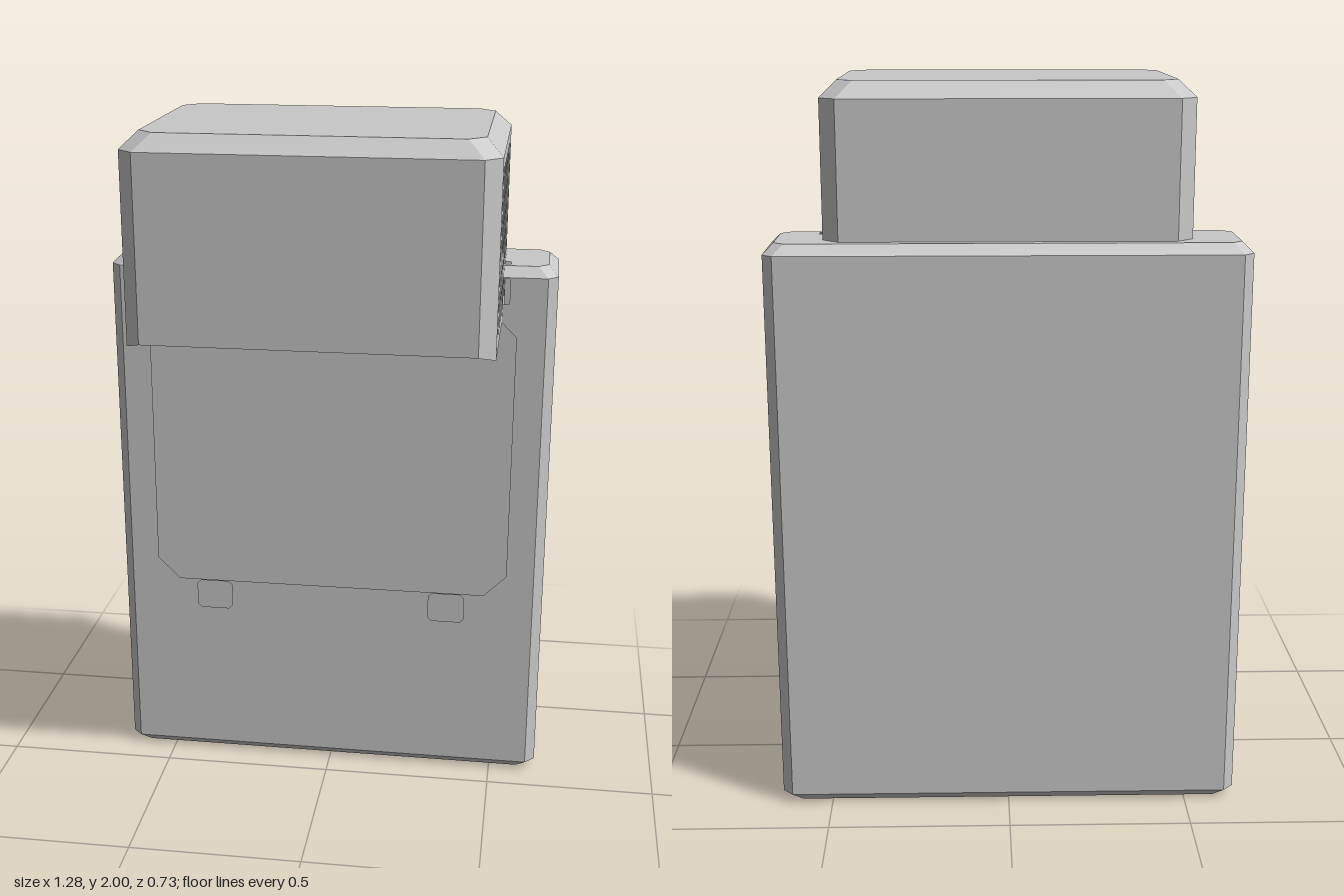
import * as THREE from 'three';

const grey = new THREE.MeshStandardMaterial({ color: 0xc8c8c8, side: THREE.DoubleSide });
grey.name = 'plain grey';

// Octagonal outline in plan; segments 0, 2, 4, 6 face +x, -z, -x, +z
function ring(hx, hz, c, cz, y) {
  return [
    [hx, hz - c], [hx, c - hz], [hx - c, -hz], [c - hx, -hz],
    [-hx, c - hz], [-hx, hz - c], [c - hx, hz], [hx - c, hz],
  ].map(([x, z]) => new THREE.Vector3(x, typeof y === 'function' ? y(x) : y, z + cz));
}

// Flat-faced band between two rings, leaving out the listed segments
function band(a, b, skip = []) {
  const pts = [];
  for (let i = 0; i < 8; i++) {
    if (skip.includes(i)) continue;
    const j = (i + 1) % 8;
    pts.push(a[i], a[j], b[j], a[i], b[j], b[i]);
  }
  const g = new THREE.BufferGeometry().setFromPoints(pts);
  g.computeVertexNormals();
  return g;
}

const poly = (pts) => new THREE.Shape(pts.map(([x, y]) => new THREE.Vector2(x, y)));

// Rectangle with small cut corners
function cutRect(x0, x1, y0, y1, c) {
  return poly([
    [x0 + c, y0], [x1 - c, y0], [x1, y0 + c], [x1, y1 - c],
    [x1 - c, y1], [x0 + c, y1], [x0, y1 - c], [x0, y0 + c],
  ]);
}

function panel(outline, holes = []) {
  outline.holes.push(...holes);
  return new THREE.ShapeGeometry(outline);
}

function add(group, name, geometry) {
  const mesh = new THREE.Mesh(geometry, grey);
  mesh.name = name;
  group.add(mesh);
}

// Hollow slab with an octagonal opening in its front
function makeSlab() {
  const g = new THREE.Group();
  g.name = 'slab';
  const hx = 0.64, hz = 0.14, b = 0.028, cz = -0.225, top = 1.59;
  const low = ring(hx - b, hz - b, b, cz, 0);
  const r1 = ring(hx, hz, b, cz, b);
  const r2 = ring(hx, hz, b, cz, top - b);
  const high = ring(hx - b, hz - b, b, cz, top);
  add(g, 'slabBottomBevel', band(low, r1));
  add(g, 'slabWalls', band(r1, r2, [6]));
  add(g, 'slabTopBevel', band(r2, high));

  // Front wall with the opening, two latch holes and a small side nick
  const front = cutRect(b - hx, hx - b, b, top - b, 0);
  const holes = [cutRect(-0.53, 0.53, 0.588, 1.455, 0.065)];
  for (const x of [-0.357, 0.353]) holes.push(cutRect(x - 0.053, x + 0.053, 0.495, 0.584, 0.01));
  holes.push(cutRect(0.488, 0.507, 1.485, 1.558, 0.003));
  add(g, 'slabFront', panel(front, holes).translate(0, 0, cz + hz));

  // Top and bottom caps
  const hole = cutRect(0.488, 0.506, 0.13, 0.163, 0.004);
  add(g, 'slabTop', panel(poly(high.map((p) => [p.x, -p.z])), [hole]).rotateX(-Math.PI / 2).translate(0, top, 0));
  add(g, 'slabBottom', panel(poly(low.map((p) => [p.x, p.z]))).rotateX(Math.PI / 2));
  return g;
}

// Hollow head, open underneath, with vent slots in its left side
function makeHead() {
  const g = new THREE.Group();
  g.name = 'head';
  const hx = 0.488, hz = 0.338, b = 0.044, cz = 0.027, top = 2, base = 1.438;
  const r0 = ring(hx, hz, b, cz, (x) => (Math.abs(x) > 0.47 ? base : 1.455));
  const r1 = ring(hx, hz, b, cz, top - b);
  const high = ring(hx - b, hz - b, b, cz, top);
  add(g, 'headWalls', band(r0, r1, [0]));
  add(g, 'headTopBevel', band(r1, high));
  add(g, 'headTop', panel(poly(high.map((p) => [p.x, -p.z]))).rotateX(-Math.PI / 2).translate(0, top, 0));

  const slots = [];
  for (let i = 0; i < 6; i++) {
    const x = -0.234 + i * 0.0755;
    slots.push(cutRect(x - 0.0165, x + 0.0165, 1.485, 1.923, 0.008));
  }
  const side = cutRect(-(cz + hz - b), -(cz - hz + b), base, top - b, 0);
  add(g, 'ventedSide', panel(side, slots).rotateY(Math.PI / 2).translate(hx, 0, 0));
  return g;
}

export function createModel() {
  const model = new THREE.Group();
  model.name = 'slabWithHead';
  model.add(makeSlab(), makeHead());
  return model;
}
